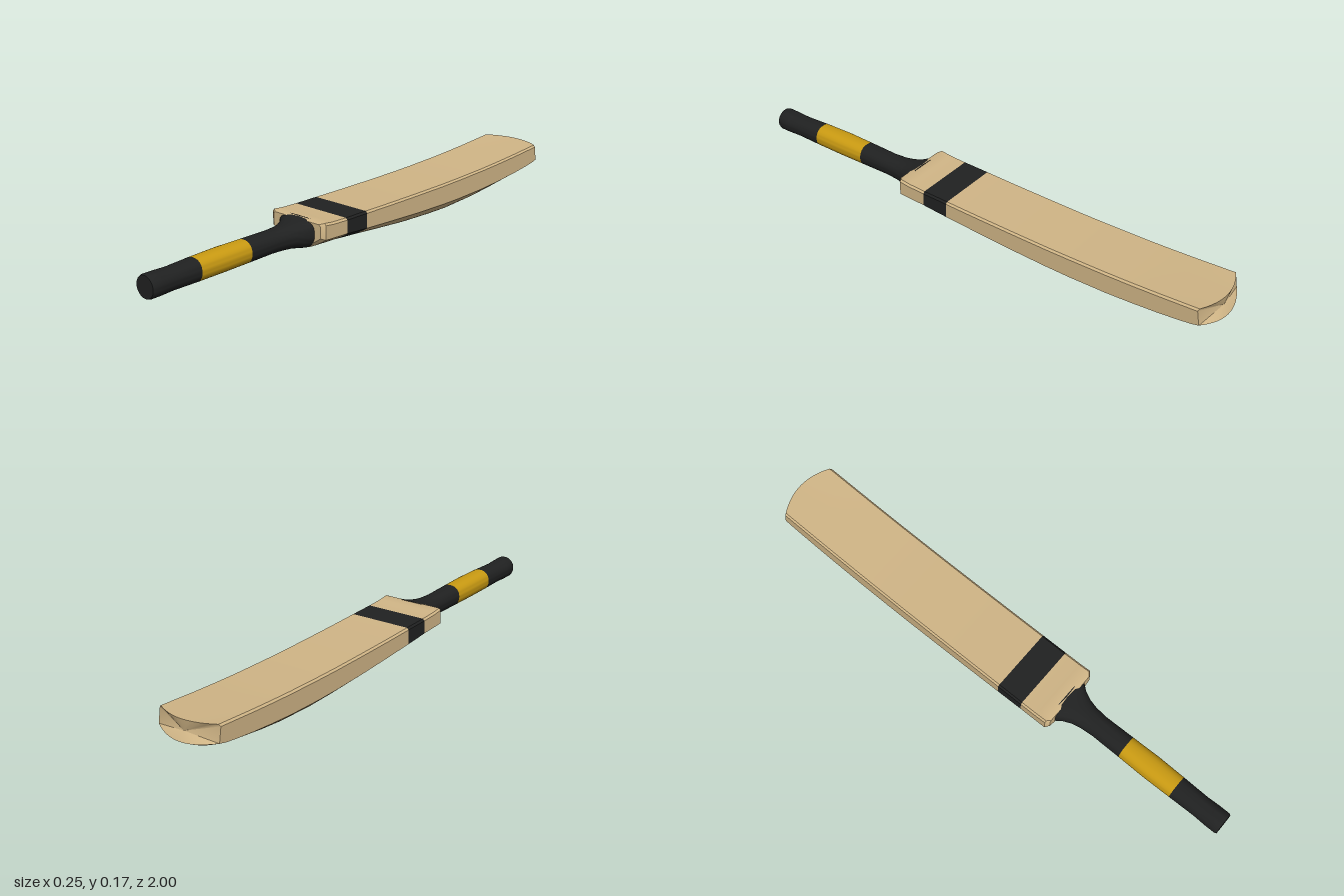
import * as THREE from 'three';
import { toCreasedNormals } from 'three/addons/utils/BufferGeometryUtils.js';

const mat = (name, color) => Object.assign(new THREE.MeshStandardMaterial({ color }), { name });

// Skin a list of rings (counter-clockwise seen from +z, ordered from +z to -z).
// pick(x, y, z, onUnderside) returns the material index of each quad.
function loft(rings, pick, crease, undersideCount = 0) {
  const n = rings[0].length, pos = rings.flat(2), buckets = [[], [], []];
  rings.slice(0, -1).forEach((ring, i) => {
    for (let k = 0; k < n; k++) {
      const k2 = (k + 1) % n;
      const a = i * n + k, b = i * n + k2, c = a + n, d = b + n;
      const x = (ring[k][0] + ring[k2][0]) / 2;
      const z = (ring[k][2] + rings[i + 1][k][2]) / 2;
      buckets[pick(x, z, k < undersideCount)].push(a, c, b, b, c, d);
    }
  });
  // End caps
  [0, rings.length - 1].forEach((r) => {
    const mid = [0, 1, 2].map((j) => rings[r].reduce((s, p) => s + p[j], 0) / n);
    const m = pos.length / 3, out = buckets[pick(0, mid[2], false)];
    pos.push(...mid);
    for (let k = 0; k < n; k++) {
      const a = r * n + k, b = r * n + ((k + 1) % n);
      if (r === 0) out.push(m, a, b); else out.push(m, b, a);
    }
  });
  const geo = new THREE.BufferGeometry();
  geo.setAttribute('position', new THREE.Float32BufferAttribute(pos, 3));
  geo.setIndex(buckets.flat());
  let start = 0;
  buckets.forEach((b, i) => {
    if (b.length) geo.addGroup(start, b.length, i);
    start += b.length;
  });
  return toCreasedNormals(geo, crease);
}

const UNDER = 24, TOP = 12, BEVEL = 0.007;

// Blade section: curved underside, upright edges, flat face, bowed toe
function bladeRing([z, top, edge, spine, w = 0.127]) {
  const pts = [];
  for (let i = 0; i <= UNDER; i++) {
    const u = -1 + (2 * i) / UNDER;
    pts.push([u * w, edge - (edge - spine) * Math.cos((u * Math.PI) / 2)]);
  }
  pts.push([w, top - BEVEL]);
  for (let i = 0; i <= TOP; i++) pts.push([(w - BEVEL) * (1 - (2 * i) / TOP), top]);
  pts.push([-w, top - BEVEL]);
  const toe = THREE.MathUtils.clamp((-z - 0.75) / 0.21, 0, 1);
  return pts.map(([x, y]) => {
    const slant = 0.012 * THREE.MathUtils.clamp((y - 0.1) / 0.07, 0, 1);
    return [x, y, z - toe * (0.04 * (1 - (x / 0.127) ** 2) - slant)];
  });
}

// Handle section: round grip that flares to a flat-topped D at the shoulder
function handleRing([z, w, top, bottom, power = 2]) {
  const pts = [], cy = 0.11, n = 32;
  for (let i = 0; i < n; i++) {
    const a = (i / n) * Math.PI * 2, c = Math.cos(a), s = Math.sin(a);
    const p = s > 0 ? 2 / power : 1;
    const x = Math.sign(c) * w * Math.abs(c) ** p;
    const y = cy + (s > 0 ? (top - cy) * s ** p : (cy - bottom) * s);
    pts.push([x, y, z]);
  }
  return pts;
}

export function createModel() {
  const group = new THREE.Group();
  group.name = 'cricketBat';
  const materials = [
    mat('willow', 0xd0b586), mat('blackRubber', 0x202121), mat('goldGrip', 0xc99a12),
  ];

  // z, face height, edge height, spine height, half width
  const bladeRows = [
    [0.312, 0.16, 0.11, 0.06, 0.112],
    [0.3, 0.165, 0.105, 0.053],
    [0.26, 0.16, 0.103, 0.051],
    [0.19, 0.157, 0.1, 0.048],
    [0.165, 0.1565, 0.098, 0.046],
    [0.125, 0.156, 0.095, 0.042],
    [0.105, 0.1555, 0.0935, 0.0405],
    [0.085, 0.155, 0.092, 0.039],
    [-0.05, 0.152, 0.084, 0.025],
    [-0.2, 0.15, 0.076, 0.011],
    [-0.35, 0.149, 0.071, 0.003],
    [-0.45, 0.15, 0.07, 0],
    [-0.6, 0.153, 0.073, 0.007],
    [-0.7, 0.157, 0.079, 0.018],
    [-0.8, 0.162, 0.087, 0.036],
    [-0.88, 0.167, 0.096, 0.058],
    [-0.93, 0.17, 0.103, 0.078],
    [-0.96, 0.172, 0.11, 0.097],
  ];
  // Black band around the blade, with a small plain panel and gold badge under the spine
  const bladeColour = (x, z, under) => {
    if (z > 0.19 || z < 0.085) return 0;
    if (under && z > 0.105 && Math.abs(x) < 0.053) {
      return Math.abs(x) < 0.02 && z > 0.125 && z < 0.165 ? 2 : 0;
    }
    return 1;
  };
  const blade = new THREE.Mesh(loft(bladeRows.map(bladeRing), bladeColour, 0.6, UNDER), materials);
  blade.name = 'blade';
  group.add(blade);

  // z, half width, top, bottom, squareness of the upper half
  const handleRows = [
    [1, 0.04, 0.15, 0.07],
    [0.992, 0.043, 0.153, 0.067],
    [0.95, 0.043, 0.152, 0.067],
    [0.9, 0.041, 0.15, 0.069],
    [0.795, 0.043, 0.152, 0.067, 2.3],
    [0.68, 0.045, 0.153, 0.067, 2.4],
    [0.57, 0.043, 0.152, 0.067, 2.3],
    [0.45, 0.042, 0.151, 0.068],
    [0.4, 0.046, 0.151, 0.066, 2.2],
    [0.365, 0.054, 0.153, 0.063, 2.5],
    [0.335, 0.067, 0.157, 0.058, 3],
    [0.312, 0.084, 0.162, 0.054, 4],
    [0.295, 0.088, 0.166, 0.056, 4],
  ];
  const handle = new THREE.Mesh(
    loft(handleRows.map(handleRing), (x, z) => (z > 0.57 && z < 0.795 ? 2 : 1), 0.7), materials);
  handle.name = 'handle';
  group.add(handle);

  return group;
}
